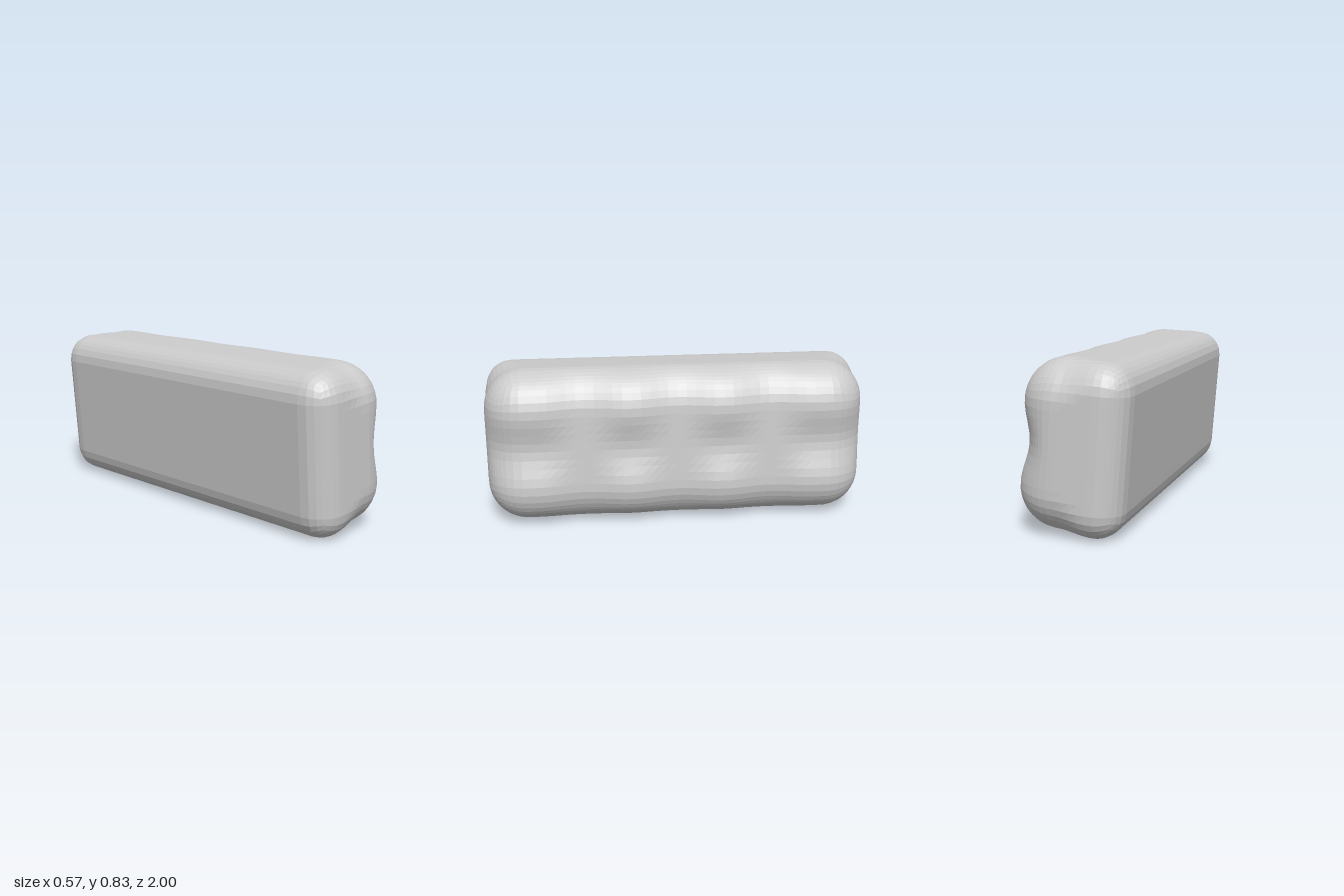
import * as THREE from 'three';

const HALF = new THREE.Vector3(0.27, 0.408, 1);
const { clamp, lerp, smoothstep } = THREE.MathUtils;

// Raised-cosine wave: 0 in the valleys, 1 on the crests, held at 1 past the outer crest
const wave = (t, period, crest) =>
  0.5 - 0.5 * Math.cos((2 * Math.PI * clamp(t, -crest, crest)) / period);

export function createModel() {
  const group = new THREE.Group();
  group.name = 'bumpyBar';

  const geometry = new THREE.BoxGeometry(HALF.x * 2, HALF.y * 2, HALF.z * 2, 14, 18, 42);
  const pos = geometry.attributes.position;
  const p = new THREE.Vector3();
  const core = new THREE.Vector3();

  for (let i = 0; i < pos.count; i++) {
    p.fromBufferAttribute(pos, i);

    // Round the edges, tighter on the flat side and softer on the bumpy side
    const r = lerp(0.14, 0.21, smoothstep(p.x, -0.13, 0.06));
    core.set(
      clamp(p.x, -HALF.x + 0.14, HALF.x - 0.21),
      clamp(p.y, -HALF.y + r, HALF.y - r),
      clamp(p.z, -HALF.z + r, HALF.z - r)
    );
    p.sub(core).setLength(r).add(core);

    // Press valleys into the +x side, leaving two rows of four bumps
    const bump = wave(p.y, 0.41, 0.205) * wave(p.z, 0.486, 0.729);
    p.x -= 0.036 * (1 - bump) * smoothstep(p.x, 0.04, 0.25);

    pos.setXYZ(i, p.x, p.y, p.z);
  }
  geometry.computeVertexNormals();

  // The bar leans slightly towards its flat side
  const bar = new THREE.Mesh(
    geometry,
    new THREE.MeshStandardMaterial({ color: 0xcccccc, flatShading: true })
  );
  bar.name = 'bar';
  bar.rotation.z = 0.075;
  bar.position.y = 0.417;
  group.add(bar);
  return group;
}
